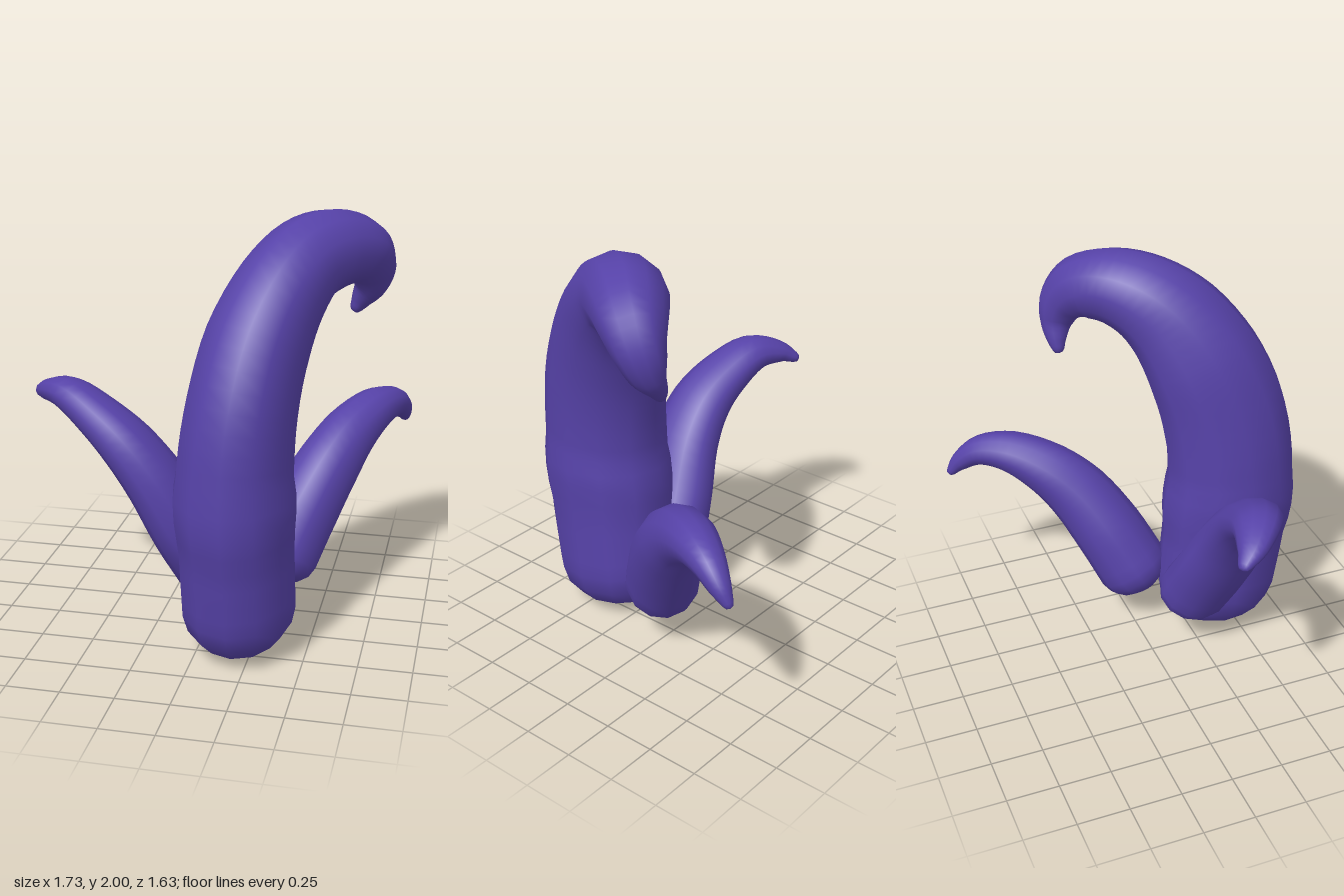
import * as THREE from 'three';

const SIDES = 12, STEPS = 4;

// Sweeps an ellipse along a smooth spine.
// rows: [x, y, z, radius along u, radius along v]; u is the first sideways axis.
function tentacle(name, rows, startU, baseDepth, tipDepth, material) {
  const spine = new THREE.CatmullRomCurve3(rows.map(r => new THREE.Vector3(r[0], r[1], r[2])));
  const radii = new THREE.CatmullRomCurve3(rows.map(r => new THREE.Vector3(r[3], r[4], 0)));
  const n = (rows.length - 1) * STEPS;
  const positions = [], index = [];
  let u = startU.clone(), rings = 0;

  const addRing = (c, t, ru, rv) => {
    u.addScaledVector(t, -u.dot(t)).normalize();
    const v = new THREE.Vector3().crossVectors(t, u);
    for (let j = 0; j < SIDES; j++) {
      const a = j / SIDES * Math.PI * 2;
      const p = c.clone().addScaledVector(u, ru * Math.cos(a)).addScaledVector(v, rv * Math.sin(a));
      positions.push(p.x, p.y, p.z);
    }
    rings++;
  };

  // Rounded base cap
  const c0 = spine.getPoint(0), t0 = spine.getTangent(0), r0 = radii.getPoint(0);
  for (const a of [70, 45, 22]) {
    const k = a * Math.PI / 180;
    addRing(c0.clone().addScaledVector(t0, -baseDepth * Math.sin(k)), t0, r0.x * Math.cos(k), r0.y * Math.cos(k));
  }
  // Body
  for (let i = 0; i <= n; i++) {
    const r = radii.getPoint(i / n);
    addRing(spine.getPoint(i / n), spine.getTangent(i / n), r.x, r.y);
  }
  // Rounded tip
  const c1 = spine.getPoint(1), t1 = spine.getTangent(1), r1 = radii.getPoint(1);
  addRing(c1.clone().addScaledVector(t1, tipDepth * 0.75), t1, r1.x * 0.65, r1.y * 0.65);

  for (let i = 0; i < rings - 1; i++) {
    for (let j = 0; j < SIDES; j++) {
      const a = i * SIDES + j, b = i * SIDES + (j + 1) % SIDES;
      index.push(a, b, a + SIDES, b, b + SIDES, a + SIDES);
    }
  }
  // Poles closing both ends
  const start = c0.clone().addScaledVector(t0, -baseDepth), end = c1.clone().addScaledVector(t1, tipDepth);
  positions.push(start.x, start.y, start.z, end.x, end.y, end.z);
  const pole = rings * SIDES, last = (rings - 1) * SIDES;
  for (let j = 0; j < SIDES; j++) {
    const k = (j + 1) % SIDES;
    index.push(pole, k, j, pole + 1, last + j, last + k);
  }

  const g = new THREE.BufferGeometry();
  g.setAttribute('position', new THREE.Float32BufferAttribute(positions, 3));
  g.setIndex(index);
  g.computeVertexNormals();
  const mesh = new THREE.Mesh(g, material);
  mesh.name = name;
  return mesh;
}

export function createModel() {
  const group = new THREE.Group();
  group.name = 'tentacles';
  const purple = new THREE.MeshStandardMaterial({ color: 0x5642a8 });
  purple.name = 'purple';

  // Tall tentacle with a hooked tip
  group.add(tentacle('tallTentacle', [
    [0.185, 0.24, 0.425, 0.265, 0.315],
    [0.18, 0.55, 0.46, 0.265, 0.325],
    [0.175, 0.9, 0.485, 0.265, 0.325],
    [0.2, 1.2, 0.455, 0.25, 0.318],
    [0.25, 1.47, 0.365, 0.238, 0.29],
    [0.33, 1.67, 0.25, 0.215, 0.25],
    [0.42, 1.785, 0.12, 0.195, 0.21],
    [0.53, 1.82, -0.01, 0.18, 0.18],
    [0.63, 1.785, -0.125, 0.15, 0.155],
    [0.675, 1.7, -0.2, 0.115, 0.12],
    [0.67, 1.61, -0.235, 0.085, 0.08],
    [0.63, 1.535, -0.25, 0.05, 0.05],
    [0.605, 1.49, -0.25, 0.03, 0.03],
  ], new THREE.Vector3(1, 0, 0), 0.235, 0.02, purple));

  // Short tentacle reaching to the right side
  group.add(tentacle('rightTentacle', [
    [0.01, 0.32, 0.23, 0.185, 0.165],
    [-0.11, 0.54, 0.29, 0.205, 0.15],
    [-0.235, 0.77, 0.325, 0.185, 0.135],
    [-0.365, 0.935, 0.325, 0.165, 0.12],
    [-0.51, 1.05, 0.29, 0.14, 0.1],
    [-0.665, 1.13, 0.23, 0.11, 0.08],
    [-0.79, 1.115, 0.15, 0.07, 0.05],
    [-0.845, 1.08, 0.09, 0.032, 0.025],
  ], new THREE.Vector3(0, 0, 1), 0.13, 0.02, purple));

  // Short tentacle reaching to the back left
  group.add(tentacle('backTentacle', [
    [0.315, 0.32, 0.015, 0.18, 0.185],
    [0.4, 0.52, -0.085, 0.175, 0.18],
    [0.5, 0.71, -0.205, 0.155, 0.165],
    [0.585, 0.835, -0.335, 0.135, 0.14],
    [0.69, 0.915, -0.5, 0.11, 0.105],
    [0.77, 0.91, -0.64, 0.08, 0.075],
    [0.81, 0.845, -0.735, 0.05, 0.05],
    [0.82, 0.79, -0.785, 0.025, 0.025],
  ], new THREE.Vector3(0.8, 0, 0.6), 0.14, 0.02, purple));

  return group;
}
